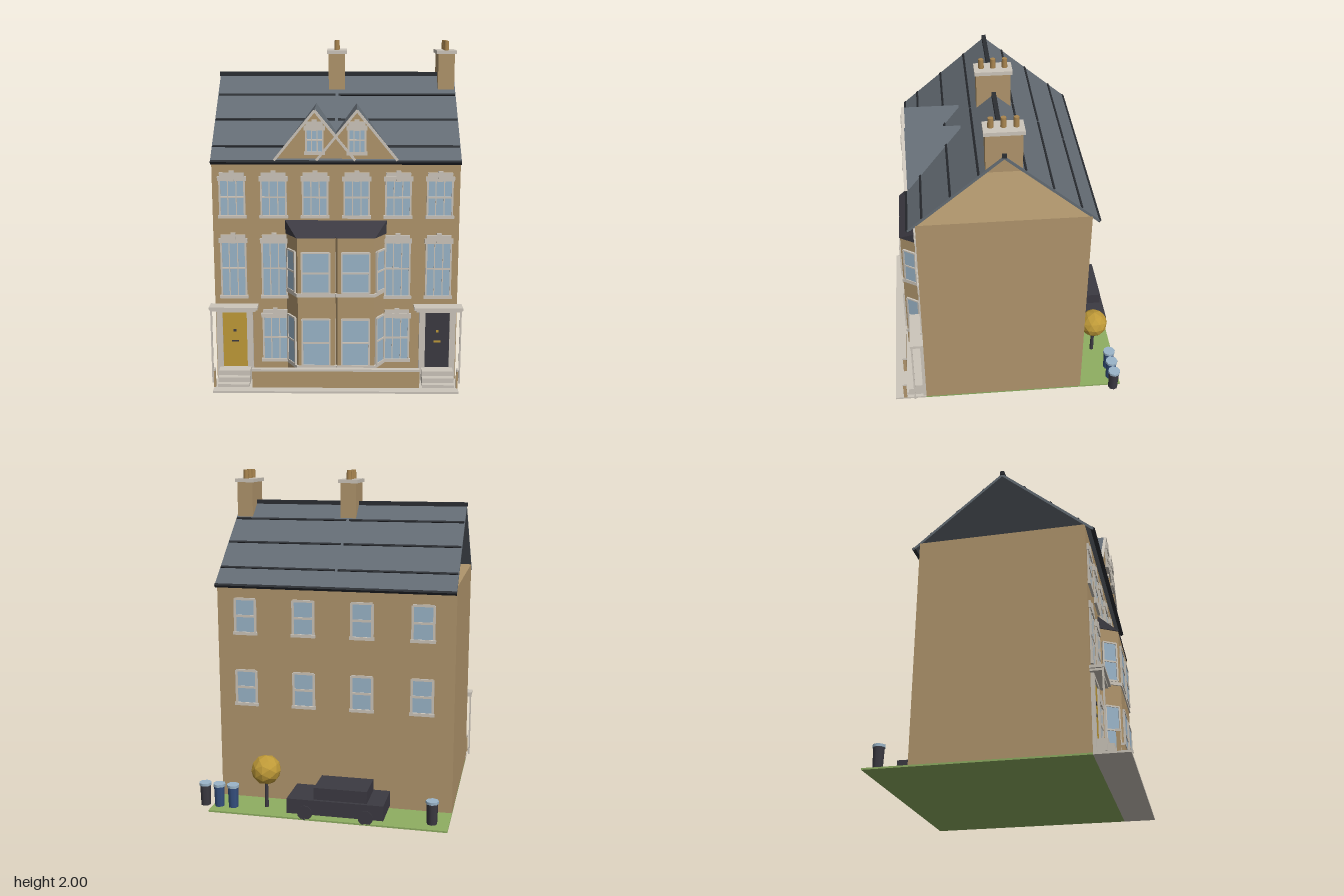
import * as THREE from 'three';
import { ConvexGeometry } from 'three/addons/geometries/ConvexGeometry.js';

const colour = (name, hex, flat = false) => {
  const m = new THREE.MeshStandardMaterial({ color: hex, flatShading: flat });
  m.name = name;
  return m;
};
const brick = colour('brick', 0xb0956c), cream = colour('cream stone', 0xcdc6bb);
const glass = colour('window glass', 0x9bb5c9), slate = colour('roof slate', 0x646c74);
const trim = colour('roof trim', 0x2b2e33), charcoal = colour('charcoal', 0x3c3a42);
const yellow = colour('golden yellow', 0xbf9a38, true), grass = colour('grass', 0x8fae62);
const navy = colour('navy', 0x35507f), clay = colour('clay', 0xa9854f);

const MID = -0.025;            // party wall between the two houses
const LEFT = -0.74, RIGHT = 0.69, FRONT = 0.525, BACK = -0.46;
const RIDGE_Y = 1.795, RIDGE_Z = 0.035;

function add(parent, name, geometry, material, x = 0, y = 0, z = 0) {
  const mesh = new THREE.Mesh(geometry, material);
  mesh.name = name;
  mesh.position.set(x, y, z);
  parent.add(mesh);
  return mesh;
}

function group(parent, name, x = 0, y = 0, z = 0, ry = 0) {
  const g = new THREE.Group();
  g.name = name;
  g.position.set(x, y, z);
  g.rotation.y = ry;
  parent.add(g);
  return g;
}

// Box given by its limits on each axis
function box(parent, name, mat, x0, x1, y0, y1, z0, z1) {
  return add(parent, name, new THREE.BoxGeometry(x1 - x0, y1 - y0, z1 - z0), mat,
    (x0 + x1) / 2, (y0 + y1) / 2, (z0 + z1) / 2);
}

// Window facing +z, base centre at the group's origin
function windowUnit(parent, x, y, z, w, h, { ry = 0, bars = [], lintel = false, sill = true, frame = 0.01 } = {}) {
  const g = group(parent, 'window', x, y, z, ry);
  const a = w / 2;
  box(g, 'pane', glass, -a, a, 0, h, -0.004, 0.004);
  for (const s of [-1, 1]) box(g, 'jamb', cream, s * a - frame / 2, s * a + frame / 2, 0, h, -0.004, 0.009);
  for (const y of [0, h / 2, h]) box(g, 'rail', cream, -a, a, y - frame / 2, y + frame / 2, -0.004, 0.009);
  for (const b of bars) box(g, 'glazing bar', cream, b * w - 0.003, b * w + 0.003, 0, h, -0.004, 0.007);
  if (sill) box(g, 'sill', cream, -a - 0.012, a + 0.012, -0.012, 0.006, -0.004, 0.015);
  if (lintel) {
    box(g, 'lintel', cream, -a - 0.012, a + 0.012, h - 0.018, h + 0.01, -0.004, 0.012);
    box(g, 'lintel top', cream, -a, a, h + 0.01, h + 0.032, -0.004, 0.011);
    box(g, 'keystone', cream, -0.014, 0.014, h - 0.02, h + 0.043, -0.004, 0.014);
  }
}

// Upright triangular prism, base centre at the origin, running along z
function prism(half, height, depth) {
  const s = new THREE.Shape([[-half, 0], [half, 0], [0, height]].map(p => new THREE.Vector2(...p)));
  return new THREE.ExtrudeGeometry(s, { depth, bevelEnabled: false });
}

// Canted bay plan extruded upwards, grown by an overhang
function baySlab(height, o = 0) {
  const s = new THREE.Shape([[-0.175 - o, 0], [-0.105 - o, -0.11 - o], [0.105 + o, -0.11 - o], [0.175 + o, 0]]
    .map(p => new THREE.Vector2(...p)));
  return new THREE.ExtrudeGeometry(s, { depth: height, bevelEnabled: false }).rotateX(-Math.PI / 2);
}

function buildBay(root, x) {
  const bay = group(root, 'bayWindow', x, 0, FRONT);
  add(bay, 'bay wall', baySlab(0.905), brick, 0, 0.01);
  for (const y of [0.118, 0.56]) add(bay, 'bay string course', baySlab(0.02, 0.007), cream, 0, y);
  const pts = [];
  for (const s of [-1, 1]) pts.push([s * 0.18, 0.912, 0], [s * 0.18, 0.99, 0], [s * 0.11, 0.912, 0.116]);
  add(bay, 'bay roof', new ConvexGeometry(pts.map(p => new THREE.Vector3(...p))), charcoal);
  for (const [y, h] of [[0.14, 0.285], [0.585, 0.24]]) {
    windowUnit(bay, 0, y, 0.113, 0.16, h, { sill: false });
    for (const s of [-1, 1])
      windowUnit(bay, s * 0.142, y, 0.057, 0.085, h, { ry: s * Math.atan2(0.11, 0.07), sill: false });
  }
}

function buildDormer(root, x) {
  const d = group(root, 'dormer', x, 1.36, 0);
  add(d, 'dormer roof', prism(0.225, 0.278, 0.33), slate, 0, 0, 0.235);
  add(d, 'dormer gable', prism(0.218, 0.268, 0.008), brick, 0, 0, 0.565);
  for (const s of [-1, 1]) {
    const b = add(d, 'bargeboard', new THREE.BoxGeometry(0.365, 0.014, 0.018), cream, s * 0.115, 0.132, 0.573);
    b.rotation.z = -s * Math.atan2(0.275, 0.225);
  }
  windowUnit(d, 0, 0.035, 0.576, 0.095, 0.145, { bars: [-0.17, 0.17], lintel: true });
}

function buildEntrance(root, x, s, doorMat, metal) {
  const e = group(root, 'entrance', x, 0, FRONT);
  [[0.03, 0.14], [0.06, 0.11], [0.09, 0.078]].forEach(([y, z], i) =>
    box(e, 'door step', cream, -0.093, 0.093, i * 0.03, y, 0, z));
  for (const k of [-1, 1]) box(e, 'door pillar', cream, k * 0.09 - 0.018, k * 0.09 + 0.018, 0.01, 0.46, 0, 0.02);
  box(e, 'door head', cream, -0.108, 0.108, 0.433, 0.465, 0, 0.02);
  box(e, 'door', doorMat, -0.072, 0.072, 0.09, 0.433, 0, 0.01);
  box(e, 'door knocker', metal, -0.008, 0.008, 0.31, 0.325, 0.01, 0.016);
  box(e, 'letter slot', metal, -0.02, 0.02, 0.247, 0.257, 0.01, 0.014);
  // Canopy reaches past the side wall, where a slim post holds it
  box(e, 'canopy', cream, -0.142, 0.142, 0.465, 0.482, 0, 0.08);
  box(e, 'canopy edge', cream, -0.13, 0.13, 0.452, 0.465, 0, 0.065);
  box(e, 'canopy post', cream, s * 0.13 - 0.005, s * 0.13 + 0.005, 0.012, 0.465, 0.066, 0.076);
}

function buildRoof(root) {
  const pitch = Math.atan2(0.455, 0.54), len = 0.706;
  for (const [ry, rows] of [[0, [0.135, 0.29, 0.45]], [Math.PI, [0.115, 0.27, 0.43]]]) {
    const side = group(root, ry ? 'backRoof' : 'frontRoof', MID, RIDGE_Y, RIDGE_Z, ry);
    const slope = group(side, 'slope');
    slope.rotation.x = pitch;
    box(slope, 'slates', slate, LEFT - MID, RIGHT - MID, -0.015, 0, 0, len);
    for (const d of rows) for (const s of [-1, 1]) {
      const z = d / Math.cos(pitch);
      add(slope, 'slate strip', new THREE.BoxGeometry(0.702, 0.008, 0.013), trim, s * 0.36, 0.002, z);
    }
    box(slope, 'eaves edge', trim, LEFT - MID, RIGHT - MID, -0.016, 0.003, len - 0.012, len + 0.004);
  }
  box(root, 'ridge', trim, LEFT - 0.005, RIGHT + 0.005, RIDGE_Y - 0.01, RIDGE_Y + 0.015, RIDGE_Z - 0.013, RIDGE_Z + 0.013);
}

function buildChimney(root, x) {
  const c = group(root, 'chimney', x, 0, RIDGE_Z);
  box(c, 'stack', brick, -0.049, 0.049, 1.695, 1.925, -0.1, 0.1);
  box(c, 'cap', cream, -0.06, 0.06, 1.923, 1.945, -0.11, 0.11);
  for (const z of [-0.068, 0, 0.068])
    add(c, 'chimney pot', new THREE.CylinderGeometry(0.015, 0.017, 0.06, 10), clay, 0, 1.97, z);
}

function buildCar(root) {
  const car = group(root, 'car');
  box(car, 'car body', charcoal, -0.37, 0.205, 0.035, 0.125, -0.715, -0.475);
  box(car, 'car cabin', charcoal, -0.27, 0.045, 0.125, 0.197, -0.697, -0.49);
  for (const x of [-0.265, 0.097]) for (const z of [-0.705, -0.485])
    add(car, 'wheel', new THREE.CylinderGeometry(0.045, 0.045, 0.03, 12).rotateX(Math.PI / 2), charcoal, x, 0.045, z);
}

function buildBin(root, x, mat) {
  const bin = group(root, 'bin', x, 0, -0.665);
  add(bin, 'bin body', new THREE.CylinderGeometry(0.034, 0.03, 0.125, 8), mat, 0, 0.0875);
  add(bin, 'bin lid', new THREE.CylinderGeometry(0.038, 0.038, 0.016, 8), glass, 0, 0.157);
}

export function createModel() {
  const root = new THREE.Group();
  root.name = 'terracedHouses';

  // Ground and main block
  box(root, 'lawn', grass, LEFT, RIGHT, 0, 0.01, -0.72, FRONT);
  box(root, 'pavement', cream, LEFT, RIGHT, 0, 0.012, FRONT, 0.72);
  box(root, 'house walls', brick, LEFT, RIGHT, 0.01, 1.37, BACK, FRONT);
  buildRoof(root);
  buildChimney(root, MID);
  buildChimney(root, 0.635);

  // Front features, mirrored about the party wall
  const opts = { bars: [-0.17, 0.17], lintel: true };
  for (const s of [-1, 1]) {
    for (const d of [0.6, 0.36, 0.12]) windowUnit(root, MID + s * d, 1.015, FRONT, 0.143, 0.225, opts);
    for (const d of [0.6, 0.36]) windowUnit(root, MID + s * d, 0.53, FRONT, 0.143, 0.342, opts);
    windowUnit(root, MID + s * 0.36, 0.135, FRONT, 0.143, 0.28, opts);
    buildBay(root, MID + s * 0.115);
    buildDormer(root, MID + s * 0.12);
    buildEntrance(root, MID + s * 0.601, s, s < 0 ? yellow : charcoal, s < 0 ? charcoal : yellow);
  }

  // Low garden wall with end stubs
  for (const [a, b] of [[-0.515, 0.465], [LEFT, -0.73], [0.68, RIGHT]]) {
    box(root, 'garden wall', brick, a, b, 0.01, 0.115, 0.647, 0.668);
    box(root, 'garden wall coping', cream, a, b, 0.115, 0.128, 0.643, 0.672);
  }

  // Plain rear windows
  for (const x of [0.518, 0.161, -0.192, -0.551]) for (const y of [0.612, 1.05])
    windowUnit(root, x, y, BACK, 0.125, 0.205, { ry: Math.PI, frame: 0.014 });

  // Back garden
  buildCar(root);
  add(root, 'tree trunk', new THREE.CylinderGeometry(0.01, 0.013, 0.18, 8), charcoal, 0.365, 0.095, -0.59);
  add(root, 'tree crown', new THREE.IcosahedronGeometry(0.09, 1), yellow, 0.365, 0.245, -0.59);
  for (const [x, m] of [[-0.645, charcoal], [0.55, navy], [0.637, navy], [0.725, charcoal]]) buildBin(root, x, m);
  return root;
}
